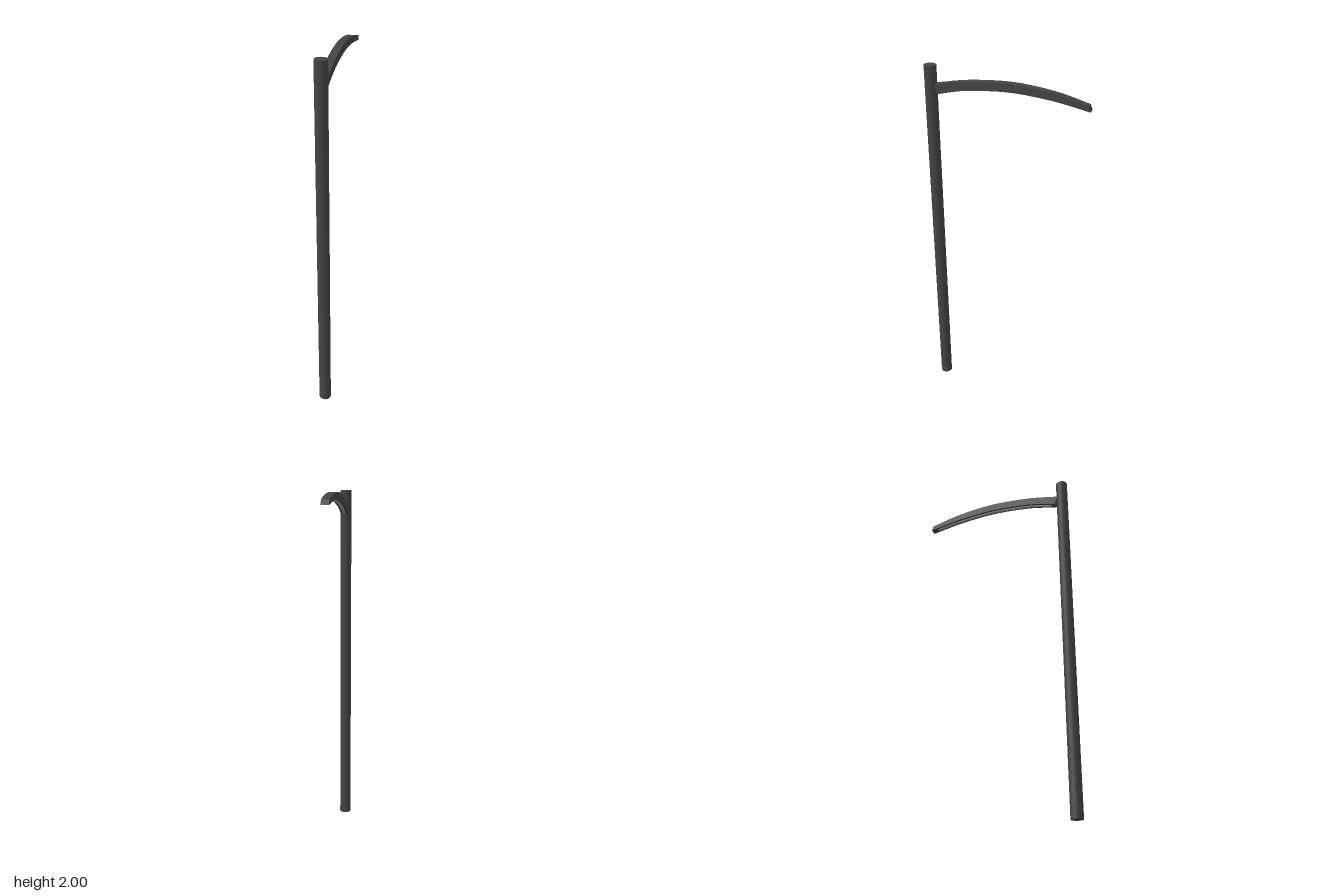
import * as THREE from 'three';

const pts = (list) => list.map(([z, y]) => new THREE.Vector2(z, y));

// Curved side profile (z, y) between a top and a bottom line, extruded across x
function curvedBar(top, bottom, width) {
  const upper = new THREE.SplineCurve(pts(top)).getPoints(32);
  const lower = new THREE.SplineCurve(pts(bottom)).getPoints(32).reverse();
  const geometry = new THREE.ExtrudeGeometry(new THREE.Shape([...upper, ...lower]), {
    depth: width, bevelEnabled: false,
  });
  geometry.translate(0, 0, -width / 2);
  geometry.rotateY(-Math.PI / 2);
  return geometry;
}

export function createModel() {
  const model = new THREE.Group();
  model.name = 'streetLamp';
  const dark = new THREE.MeshStandardMaterial({ color: 0x444444 });
  const light = new THREE.MeshStandardMaterial({ color: 0x999999 });

  const add = (name, geometry, material, parent) => {
    const mesh = new THREE.Mesh(geometry, material);
    mesh.name = name;
    parent.add(mesh);
    return mesh;
  };

  // Round post
  const pole = add('pole', new THREE.CylinderGeometry(0.033, 0.033, 2, 20), dark, model);
  pole.position.set(0, 1, 0.408);

  // Arched arm, thinner toward the tip, turned very slightly off axis
  const head = new THREE.Group();
  head.name = 'lampHead';
  head.rotation.y = 0.005;
  model.add(head);

  const top = [[0.383, 1.905], [0.2, 1.938], [-0.03, 1.952], [-0.25, 1.93], [-0.43, 1.886]];
  const bottom = [[0.365, 1.857], [0.2, 1.893], [-0.03, 1.909], [-0.25, 1.892], [-0.44, 1.858]];
  add('arm', curvedBar(top, bottom, 0.041), dark, head);

  // Narrow light strip under the arm
  const stripTop = [[0.34, 1.868], [0.2, 1.897], [-0.03, 1.912], [-0.25, 1.895], [-0.4, 1.87]];
  const stripBottom = [[0.34, 1.86], [0.2, 1.889], [-0.03, 1.905], [-0.25, 1.888], [-0.4, 1.863]];
  add('lightStrip', curvedBar(stripTop, stripBottom, 0.016), light, head);

  return model;
}
